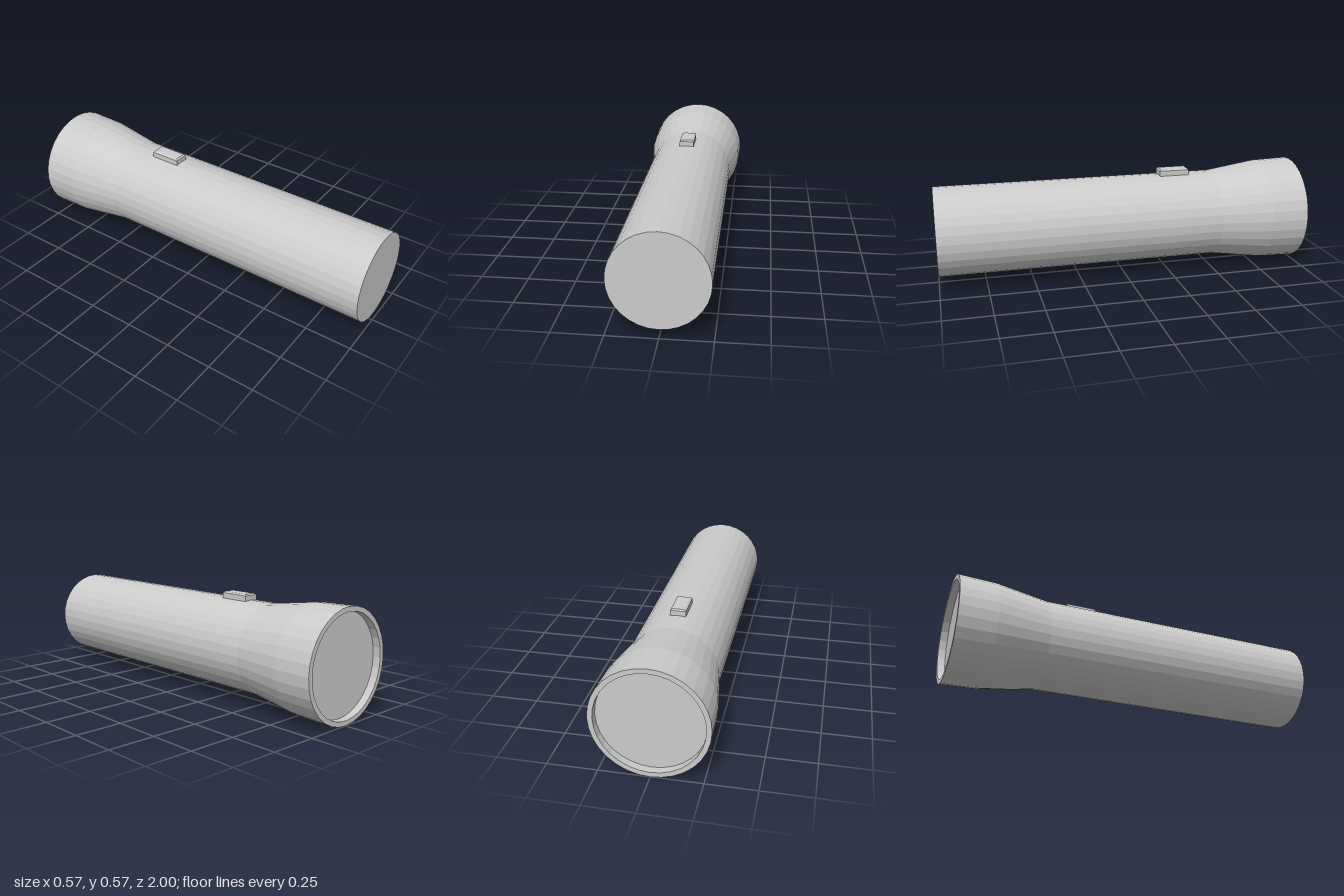
import * as THREE from 'three';

const SIDES = 32;
const AXIS_Y = 0.285;

export function createModel() {
  const group = new THREE.Group();
  const material = new THREE.MeshStandardMaterial({ color: 0xcccccc, flatShading: true });

  const add = (name, geometry, y, z) => {
    const mesh = new THREE.Mesh(geometry, material);
    mesh.name = name;
    mesh.position.set(0, y, z);
    group.add(mesh);
  };

  // Turned parts: [radius, distance towards the lamp end (-z)]
  const turned = (name, profile) => {
    const points = profile.map(([r, d]) => new THREE.Vector2(r, d));
    add(name, new THREE.LatheGeometry(points, SIDES).rotateX(-Math.PI / 2), AXIS_Y, 0);
  };

  // Handle tube with closed tail
  turned('handle', [[0, -1], [0.238, -1], [0.238, 0.52]]);

  // Flared head with a rim and its inner wall
  turned('head', [[0.238, 0.52], [0.279, 0.8], [0.285, 1], [0.26, 1], [0.26, 0.96]]);

  // Flat lens set back inside the rim
  turned('lens', [[0.26, 0.96], [0, 0.96]]);

  // Slide switch: a block whose top edge is bevelled
  const block = new THREE.BoxGeometry(0.08, 0.06, 0.165, 1, 2, 1);
  const pos = block.attributes.position;
  for (let i = 0; i < pos.count; i++) {
    const y = pos.getY(i);
    if (y > 0.02) {
      pos.setX(i, pos.getX(i) * 0.72);
      pos.setZ(i, pos.getZ(i) * 0.9);
    } else if (y > -0.01) {
      pos.setY(i, 0.023);
    }
  }
  block.computeVertexNormals();
  add('switch', block, 0.525, -0.3);

  return group;
}
